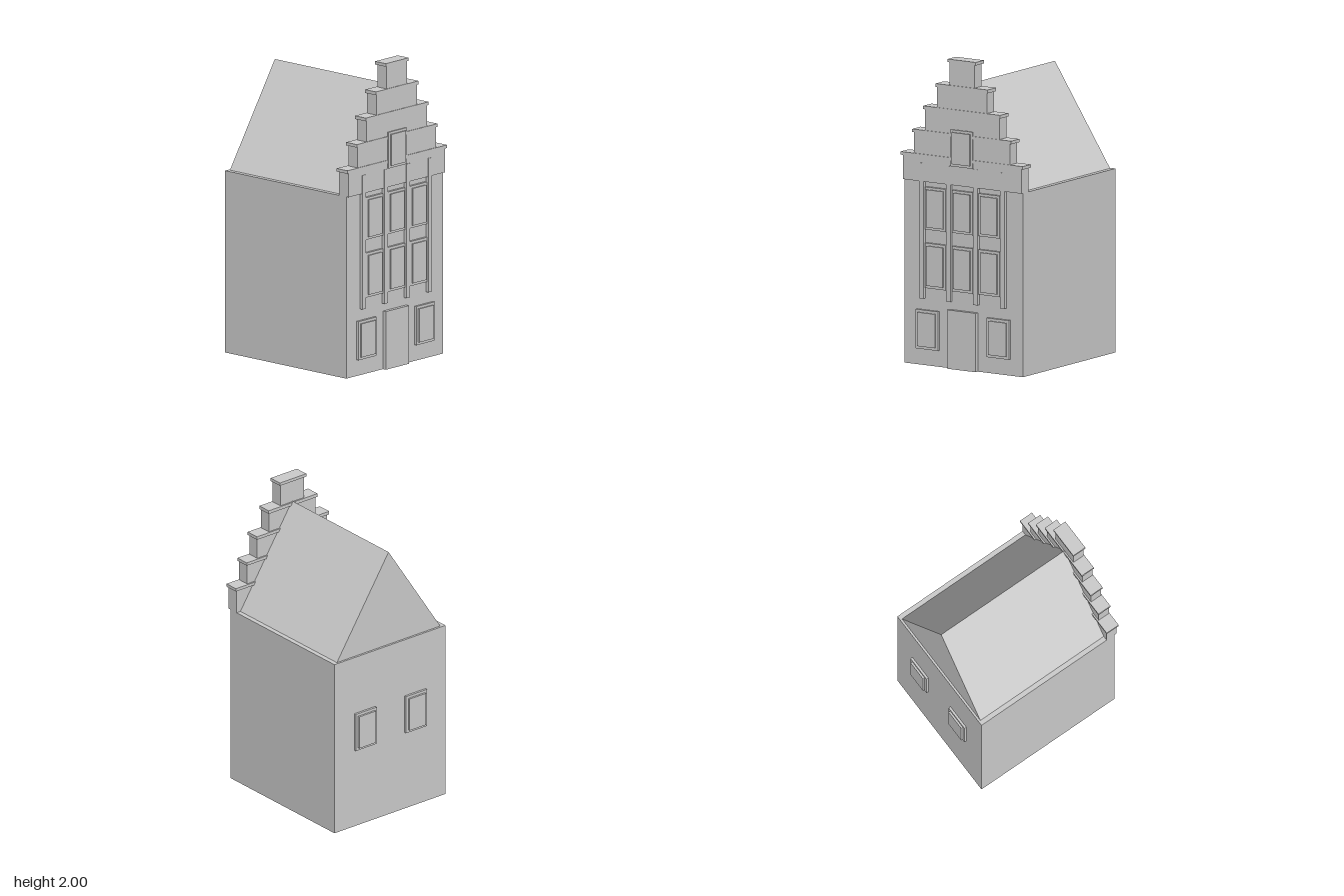
import * as THREE from 'three';

export function createModel() {
  const house = new THREE.Group();
  house.name = 'canalHouse';
  const stone = new THREE.MeshStandardMaterial({ color: 0xcccccc });
  stone.name = 'paleStone';

  // Box given by its extents on each axis
  function block(name, [x0, x1], [y0, y1], [z0, z1], parent = house) {
    const mesh = new THREE.Mesh(new THREE.BoxGeometry(x1 - x0, y1 - y0, z1 - z0), stone);
    mesh.position.set((x0 + x1) / 2, (y0 + y1) / 2, (z0 + z1) / 2);
    mesh.name = name;
    parent.add(mesh);
    return mesh;
  }

  const FRONT = 0.518, BACK = -0.525, EAVES = 1.188;

  // Main body
  block('body', [-0.455, 0.455], [0, EAVES], [BACK, FRONT]);

  // Pitched roof running front to back
  const section = new THREE.Shape([
    new THREE.Vector2(-0.425, EAVES - 0.002),
    new THREE.Vector2(0.425, EAVES - 0.002),
    new THREE.Vector2(0, 1.838),
  ]);
  const roof = new THREE.Mesh(
    new THREE.ExtrudeGeometry(section, { depth: 0.975, bevelEnabled: false }), stone);
  roof.position.z = -0.511;
  roof.name = 'roof';
  house.add(roof);

  // Stepped gable: half width, bottom, cornice bottom, cornice top, cornice half width
  const gable = new THREE.Group();
  gable.name = 'steppedGable';
  house.add(gable);
  const tiers = [
    [0.455, EAVES, 1.345, 1.365, 0.469],
    [0.369, 1.365, 1.5, 1.52, 0.38],
    [0.286, 1.52, 1.657, 1.678, 0.296],
    [0.191, 1.678, 1.81, 1.832, 0.2],
    [0.096, 1.832, 1.98, 2, 0.108],
  ];
  for (const [w, y0, y1, y2, cw] of tiers) {
    block('gableStep', [-w, w], [y0, y1], [0.457, 0.536], gable);
    block('cornice', [-cw, cw], [y1, y2], [0.447, 0.541], gable);
  }

  // Window: outer frame plate with a smaller raised pane plate
  function makeWindow(name, x, y0, y1, halfW, inset, wall, frameZ, paneZ) {
    const group = new THREE.Group();
    group.name = name;
    house.add(group);
    const span = (z) => (z > wall ? [wall, z] : [z, wall]);
    block('frame', [x - halfW, x + halfW], [y0, y1], span(frameZ), group);
    block('pane', [x - halfW + inset, x + halfW - inset],
      [y0 + inset, y1 - inset], span(paneZ), group);
  }

  // Two upper rows of front windows
  for (const x of [-0.207, 0, 0.207]) {
    makeWindow('upperWindow', x, 0.88, 1.155, 0.08, 0.016, FRONT, 0.535, 0.544);
    makeWindow('middleWindow', x, 0.502, 0.793, 0.08, 0.017, FRONT, 0.535, 0.544);
  }

  // Ground floor and back windows, mirrored
  for (const side of [-1, 1]) {
    makeWindow('groundWindow', side * 0.273, 0.105, 0.358, 0.086, 0.017, FRONT, 0.535, 0.544);
    makeWindow('backWindow', side * 0.206, 0.535, 0.793, 0.086, 0.018, BACK, -0.54, -0.553);
  }

  // Loading hatch in the gable
  makeWindow('gableHatch', 0, 1.311, 1.548, 0.085, 0.016, 0.53, 0.545, 0.554);

  // Pilasters between the windows
  for (const x of [-0.311, -0.104, 0.104, 0.311]) {
    block('pilaster', [x - 0.016, x + 0.016], [0.432, 1.308], [FRONT, 0.54]);
  }

  // Front door
  block('door', [-0.109, 0.109], [0, 0.38], [FRONT, 0.543]);

  return house;
}
